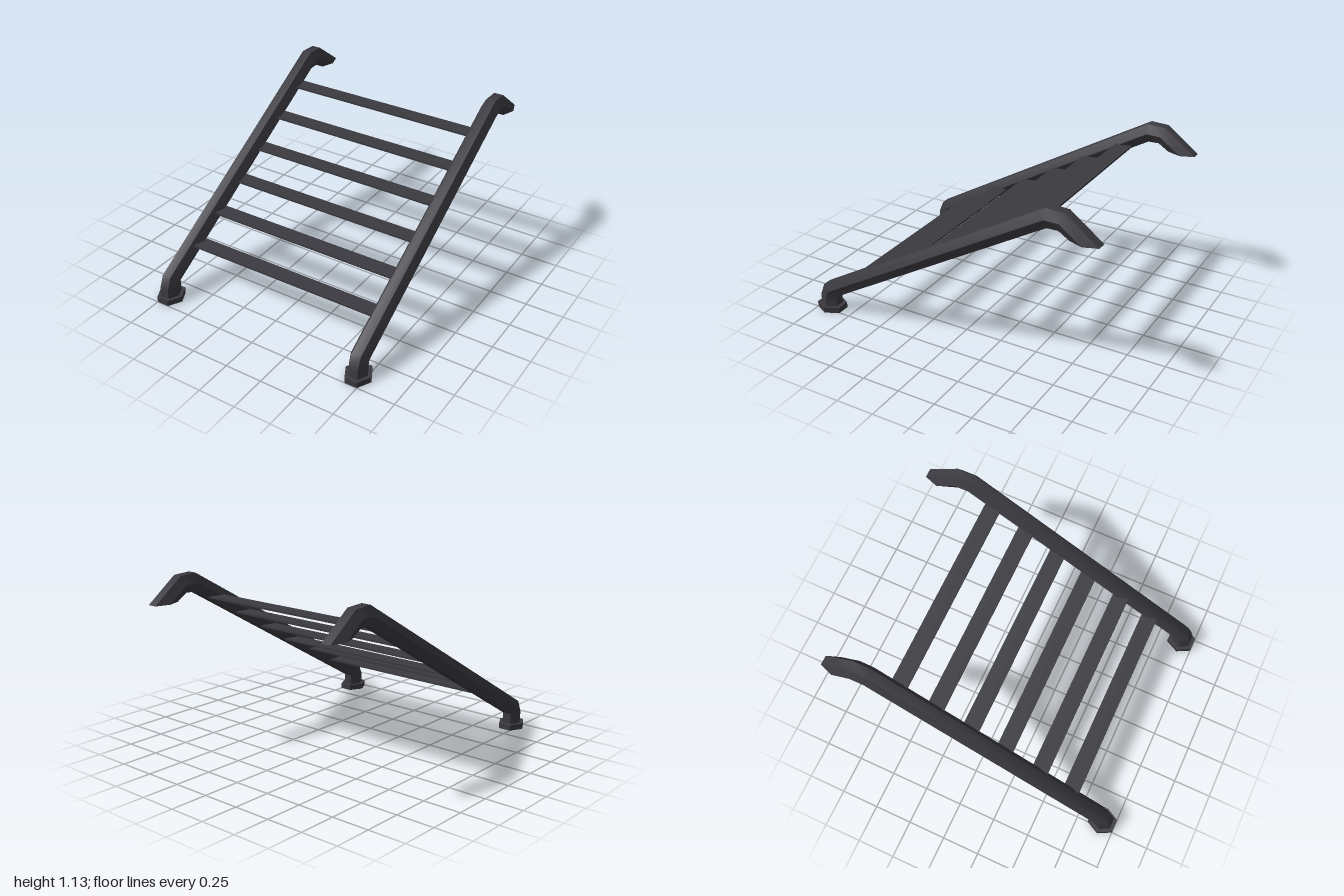
import * as THREE from 'three';
import { toCreasedNormals } from 'three/addons/utils/BufferGeometryUtils.js';

// Six-sided loft; each section is [outerZ, outerY, innerZ, innerY]
function hexLoft(sections, halfWidth, halfFlat) {
  const positions = [];
  const indices = [];
  for (const [oz, oy, iz, iy] of sections) {
    const mz = (oz + iz) / 2;
    const my = (oy + iy) / 2;
    positions.push(
      -halfFlat, oy, oz, halfFlat, oy, oz, halfWidth, my, mz,
      halfFlat, iy, iz, -halfFlat, iy, iz, -halfWidth, my, mz
    );
  }
  for (let s = 0; s < sections.length - 1; s++) {
    for (let i = 0; i < 6; i++) {
      const a = s * 6 + i;
      const b = s * 6 + (i + 1) % 6;
      indices.push(a, b, b + 6, a, b + 6, a + 6);
    }
  }
  // End caps
  const last = (sections.length - 1) * 6;
  for (let i = 1; i < 5; i++) {
    indices.push(0, i + 1, i);
    indices.push(last, last + i, last + i + 1);
  }
  const geometry = new THREE.BufferGeometry();
  geometry.setAttribute('position', new THREE.Float32BufferAttribute(positions, 3));
  geometry.setIndex(indices);
  return toCreasedNormals(geometry, 0.85);
}

export function createModel() {
  const model = new THREE.Group();
  model.name = 'ladder';
  const charcoal = new THREE.MeshStandardMaterial({ color: 0x3b3a40 });
  charcoal.name = 'charcoal metal';

  const add = (name, geometry, x, y, z) => {
    const mesh = new THREE.Mesh(geometry, charcoal);
    mesh.name = name;
    mesh.position.set(x, y, z);
    model.add(mesh);
  };

  // Side rails: upright base, sloping run, and a hook cut level at its end
  const railGeometry = hexLoft([
    [0.975, 0.03, 0.85, 0.03],
    [0.975, 0.10, 0.85, 0.09],
    [0.942, 0.18, 0.849, 0.11],
    [-0.67, 1.13, -0.68, 1.01],
    [-0.79, 1.125, -0.75, 1.013],
    [-1.0, 0.968, -0.822, 0.968]
  ], 0.0625, 0.031);

  // Feet
  const footGeometry = hexLoft([
    [1.0, 0, 0.825, 0],
    [1.0, 0.038, 0.825, 0.038]
  ], 0.0875, 0.042);

  for (const [side, x] of [['left', 0.708], ['right', -0.708]]) {
    add(side + 'Rail', railGeometry, x, 0, 0);
    add(side + 'Foot', footGeometry, x, 0, 0);
  }

  // Flat level rungs, given as [y, z]
  const rungGeometry = new THREE.BoxGeometry(1.34, 0.012, 0.109);
  const rungs = [
    [0.293, 0.653], [0.423, 0.427], [0.54, 0.18],
    [0.678, -0.051], [0.817, -0.281], [0.954, -0.514]
  ];
  rungs.forEach(([y, z], i) => add('rung' + (i + 1), rungGeometry, 0, y, z));

  return model;
}
